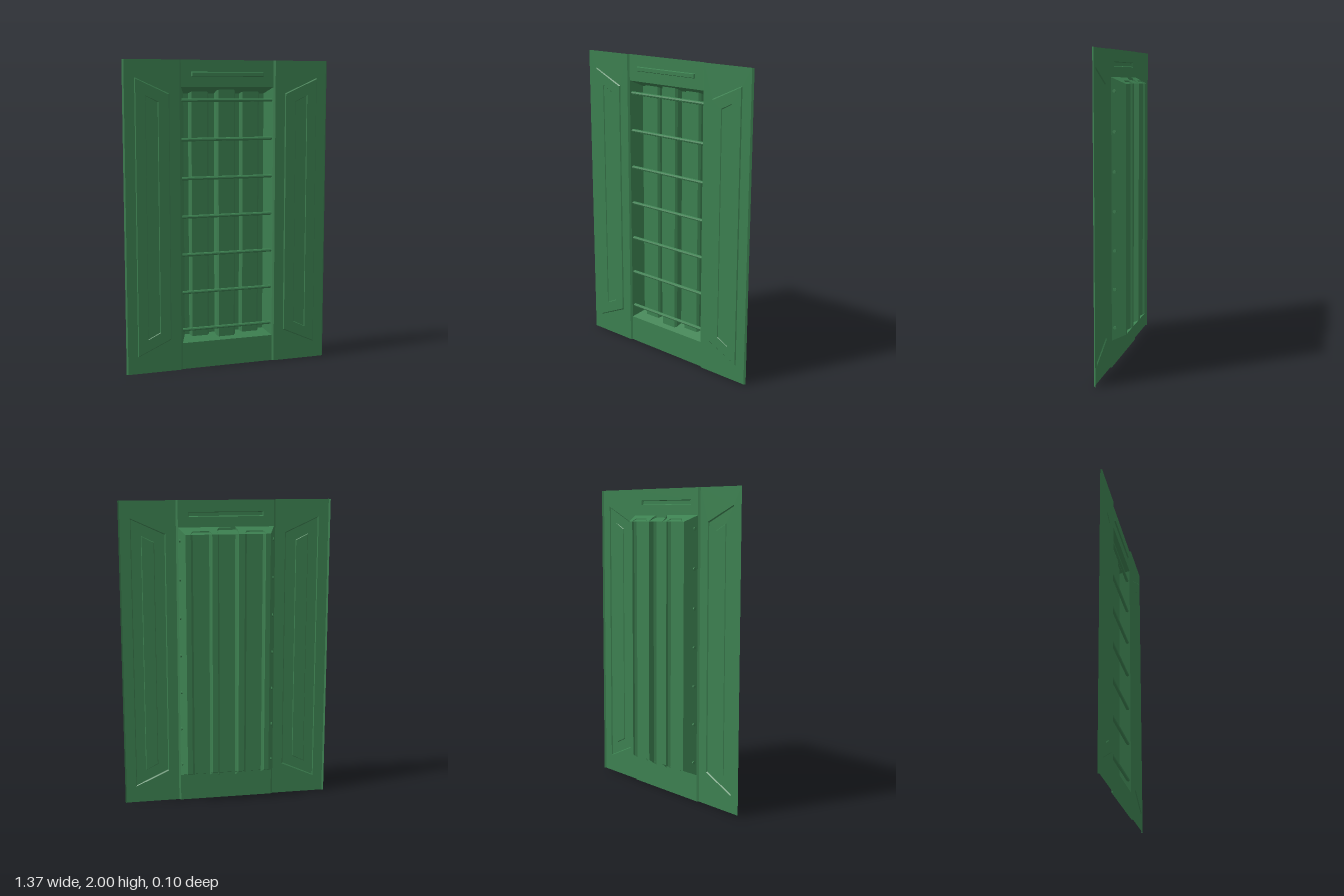
import * as THREE from 'three';

const material = new THREE.MeshStandardMaterial({
  color: 0x3c8050, flatShading: true, side: THREE.DoubleSide,
});

function add(parent, name, geometry) {
  const mesh = new THREE.Mesh(geometry, material);
  mesh.name = name;
  parent.add(mesh);
  return mesh;
}

// Sheet metal from rows of points; each row is joined to the next
function sheet(rows, closed = false, cap = false) {
  const pos = [];
  const quad = (a, b, c, d) => pos.push(...a, ...b, ...c, ...a, ...c, ...d);
  for (let r = 0; r < rows.length - 1; r++) {
    const n = rows[r].length;
    for (let i = 0; i < (closed ? n : n - 1); i++) {
      const j = (i + 1) % n;
      quad(rows[r][i], rows[r][j], rows[r + 1][j], rows[r + 1][i]);
    }
  }
  if (cap) quad(...rows[rows.length - 1]);
  const g = new THREE.BufferGeometry();
  g.setAttribute('position', new THREE.Float32BufferAttribute(pos, 3));
  g.computeVertexNormals();
  return g;
}

// Counter-clockwise four-cornered loop, mirrored about y = 1; the outer and
// inner edges may differ in height
const loop = (x0, x1, h0, h1, z) => [
  [x0, 1 - h0, z], [x1, 1 - h1, z], [x1, 1 + h1, z], [x0, 1 + h0, z],
];
const rect = (x, y0, y1, z) => [[-x, y0, z], [x, y0, z], [x, y1, z], [-x, y1, z]];

const FRAME_Z = 0.033, SIDE_Z = 0.043, RAISED_Z = 0.049, FLOOR_Z = -0.05;

function sidePanel(s) {
  const g = new THREE.Group();
  const L = (a, b, h0, h1, z) => {
    const l = loop(s * a, s * b, h0, h1, z);
    return s > 0 ? l.reverse() : l;
  };
  // flat sheet with a raised tapered field and a sunken slot in its middle
  add(g, 'pressedSheet', sheet([
    L(0.675, 0.322, 1, 1, SIDE_Z),
    L(0.61, 0.388, 0.89, 0.79, SIDE_Z),
    L(0.605, 0.394, 0.882, 0.785, RAISED_Z),
    L(0.543, 0.46, 0.78, 0.74, RAISED_Z),
    L(0.539, 0.464, 0.775, 0.737, SIDE_Z + 0.002),
  ], true, true));
  // folded edges on both long sides
  for (const [name, xa, xb] of [['outerFold', 0.685, 0.675], ['innerFold', 0.31, 0.322]]) {
    const rows = [0, 2].map((y) => [[s * xa, y, FRAME_Z], [s * xb, y, SIDE_Z]]);
    if ((s > 0) === (name === 'outerFold')) rows.forEach((r) => r.reverse());
    add(g, name, sheet(rows));
  }
  return g;
}

export function createModel() {
  const model = new THREE.Group();

  for (const s of [-1, 1]) {
    const panel = sidePanel(s);
    panel.name = s > 0 ? 'leftSidePanel' : 'rightSidePanel';
    model.add(panel);
  }

  // Top plate with its pressed bar, and plain bottom plate
  add(model, 'topPlate', sheet([
    rect(0.31, 1.83, 2, FRAME_Z),
    rect(0.243, 1.896, 1.926, FRAME_Z),
    rect(0.237, 1.9, 1.922, 0.042),
  ], true, true));
  add(model, 'bottomPlate', sheet([rect(0.31, 0, 0.175, FRAME_Z)], true, true));

  // Sloping walls of the recess
  add(model, 'recessWalls', sheet([
    rect(0.31, 0.175, 1.83, FRAME_Z),
    rect(0.273, 0.21, 1.79, FLOOR_Z),
  ], true));

  // Recess floor with three forward ribs whose ends pierce the sloping walls
  const profile = [[-0.273, FLOOR_Z]];
  for (const [cx, z] of [[-0.174, -0.025], [0, 0], [0.172, -0.025]]) {
    profile.push([cx - 0.068, FLOOR_Z], [cx - 0.064, z - 0.013], [cx - 0.052, z],
      [cx + 0.052, z], [cx + 0.064, z - 0.013], [cx + 0.068, FLOOR_Z]);
  }
  profile.push([0.273, FLOOR_Z]);
  add(model, 'ribbedFloor', sheet([-1, 1].map((e) => profile.map(
    ([x, z]) => [x, 1 + e * (0.79 + 0.8 * (z - FLOOR_Z)), z]))));

  // Horizontal rods across the recess
  const rodGeometry = new THREE.CylinderGeometry(0.011, 0.011, 0.614, 8).rotateZ(Math.PI / 2);
  for (let i = 0; i < 7; i++) {
    add(model, 'rod', rodGeometry).position.set(0, 0.26 + i * 0.248, 0.015);
  }

  return model;
}
